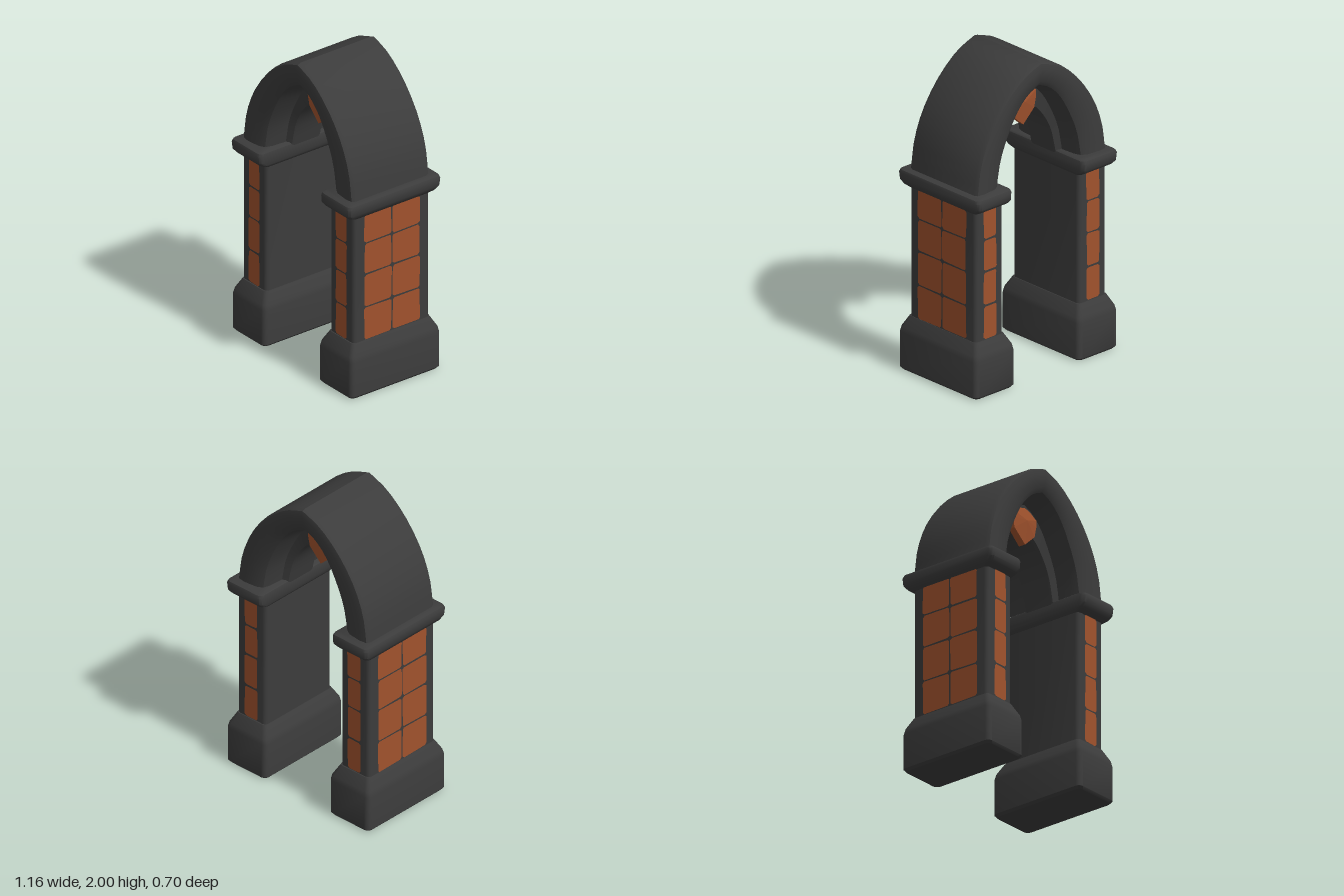
import * as THREE from 'three';
import { toCreasedNormals } from 'three/addons/utils/BufferGeometryUtils.js';
import { ConvexGeometry } from 'three/addons/geometries/ConvexGeometry.js';

const stone = new THREE.MeshStandardMaterial({ color: 0x3c3c3c });
stone.name = 'dark stone';
const brick = new THREE.MeshStandardMaterial({ color: 0xa0522d });
brick.name = 'orange brick';

// Skin a list of equal-length rings and close both ends
function loft(rings, crease = 0.7) {
  const n = rings[0].length, pos = [], index = [];
  rings.forEach(r => r.forEach(p => pos.push(...p)));
  for (let i = 0; i < rings.length - 1; i++) {
    for (let j = 0; j < n; j++) {
      const a = i * n + j, b = i * n + (j + 1) % n;
      index.push(a, b, b + n, a, b + n, a + n);
    }
  }
  const last = (rings.length - 1) * n;
  for (let j = 1; j < n - 1; j++) {
    index.push(0, j + 1, j, last, last + j, last + j + 1);
  }
  const g = new THREE.BufferGeometry();
  g.setAttribute('position', new THREE.Float32BufferAttribute(pos, 3));
  g.setIndex(index);
  return toCreasedNormals(g, crease);
}

// Rounded rectangle ring at height y
function rectRing(y, x0, x1, hz, r) {
  const cx = (x0 + x1) / 2, hx = (x1 - x0) / 2, ring = [];
  [[1, 1], [1, -1], [-1, -1], [-1, 1]].forEach(([sx, sz], q) => {
    for (let k = 0; k <= 3; k++) {
      const a = (q - 1 + k / 3) * Math.PI / 2;
      ring.push([cx + sx * (hx - r) + r * Math.cos(a), y, sz * (hz - r) - r * Math.sin(a)]);
    }
  });
  return ring;
}
const block = rows => loft(rows.map(r => rectRing(...r)));

function add(parent, name, geometry, material) {
  const m = new THREE.Mesh(geometry, material);
  m.name = name;
  parent.add(m);
  return m;
}

let seed = 7;
const jitter = s => {
  seed = (seed * 16807) % 2147483647;
  return (seed / 2147483647 - 0.5) * s;
};

// Slightly uneven flat bricks in a grid of columns
const rowEdges = [0.345, 0.565, 0.785, 0.992, 1.185];
function brickPanel(parent, name, columns) {
  const panel = new THREE.Group();
  panel.name = name;
  for (let i = 0; i < 4; i++) {
    for (const [u0, u1] of columns) {
      const v0 = rowEdges[i] + 0.005, v1 = rowEdges[i + 1] - 0.005, c = 0.012;
      const outline = [[u0 + c, v0], [u1 - c, v0], [u1, v0 + c], [u1, v1 - c],
        [u1 - c, v1], [u0 + c, v1], [u0, v1 - c], [u0, v0 + c]]
        .map(([u, v]) => new THREE.Vector2(u + jitter(0.007), v + jitter(0.005)));
      add(panel, 'brick', new THREE.ShapeGeometry(new THREE.Shape(outline)), brick);
    }
  }
  parent.add(panel);
  return panel;
}

function makePier(name) {
  const pier = new THREE.Group();
  pier.name = name;
  add(pier, 'base', block([
    [0, 0.27, 0.565, 0.325, 0.03], [0.015, 0.256, 0.578, 0.337, 0.03],
    [0.24, 0.256, 0.578, 0.337, 0.03], [0.275, 0.263, 0.57, 0.33, 0.03],
    [0.345, 0.3, 0.535, 0.292, 0.025]]), stone);
  add(pier, 'shaft', block([
    [0.3, 0.305, 0.532, 0.285, 0.025], [1.21, 0.305, 0.532, 0.285, 0.025]]), stone);
  add(pier, 'capital', block([
    [1.175, 0.303, 0.535, 0.29, 0.025], [1.195, 0.288, 0.558, 0.325, 0.03],
    [1.22, 0.285, 0.568, 0.347, 0.03], [1.265, 0.284, 0.572, 0.35, 0.03],
    [1.282, 0.288, 0.565, 0.343, 0.03], [1.29, 0.3, 0.545, 0.325, 0.03]]), stone);

  // Narrow panels on both ends, wide panel on the outer side
  brickPanel(pier, 'frontBricks', [[0.365, 0.468]]).position.z = 0.289;
  const back = brickPanel(pier, 'backBricks', [[-0.468, -0.365]]);
  back.rotation.y = Math.PI;
  back.position.z = -0.289;
  const side = brickPanel(pier, 'sideBricks', [[-0.208, -0.004], [0.004, 0.208]]);
  side.rotation.y = Math.PI / 2;
  side.position.x = 0.536;
  return pier;
}

// Half of a pointed curve, mirrored across x = 0
function pointedCurve(points) {
  const curve = new THREE.CatmullRomCurve3(points.map(([x, y]) => new THREE.Vector3(x, y, 0)));
  const half = [];
  for (let i = 0; i <= 12; i++) half.push(curve.getPoint(i / 12));
  const other = half.slice(0, -1).reverse().map(p => new THREE.Vector3(-p.x, p.y, 0));
  return [...half, ...other];
}

function makeArch() {
  const outer = pointedCurve([[0.53, 1.27], [0.5, 1.47], [0.425, 1.65], [0.295, 1.82], [0.14, 1.945], [0, 2]]);
  const rim = pointedCurve([[0.33, 1.27], [0.295, 1.45], [0.23, 1.6], [0.155, 1.725], [0.075, 1.8], [0, 1.835]]);
  const soffit = pointedCurve([[0.285, 1.27], [0.245, 1.43], [0.19, 1.53], [0.12, 1.605], [0.06, 1.635], [0, 1.65]]);
  const rings = outer.map((o, i) => {
    const r = rim[i], s = soffit[i];
    // Front half of the section, from the outer skin to the soffit
    const front = [
      [o, 0.265], [o.clone().lerp(r, 0.06), 0.288], [o.clone().lerp(r, 0.3), 0.295],
      [o.clone().lerp(r, 0.75), 0.285], [o.clone().lerp(r, 0.93), 0.265], [r, 0.22],
      [r.clone().lerp(s, 0.15), 0.125], [r.clone().lerp(s, 0.9), 0.105], [s, 0.09]];
    const rear = front.map(([p, z]) => [p, -z]);
    return [...rear, ...front.reverse()].map(([p, z]) => [p.x, p.y, z]);
  });
  return loft(rings, 0.6);
}

// Ridged shield-shaped keystone face
function makeShield() {
  const pts = [];
  for (const s of [-1, 1]) {
    for (const [x, y] of [[0.06, 1.77], [0.108, 1.742], [0.108, 1.7], [0.092, 1.63]]) {
      pts.push(new THREE.Vector3(s * x, y, 0.085), new THREE.Vector3(s * x, y, 0.128));
    }
  }
  for (const [y, z] of [[1.785, 0.132], [1.7, 0.15], [1.548, 0.132], [1.785, 0.085], [1.548, 0.085]]) {
    pts.push(new THREE.Vector3(0, y, z));
  }
  return new ConvexGeometry(pts);
}

export function createModel() {
  const model = new THREE.Group();
  model.name = 'stoneArchway';

  model.add(makePier('leftPier'));
  const right = makePier('rightPier');
  right.rotation.y = Math.PI;
  model.add(right);

  add(model, 'arch', makeArch(), stone);
  add(model, 'frontKeystone', makeShield(), brick);
  add(model, 'backKeystone', makeShield(), brick).rotation.y = Math.PI;
  return model;
}
